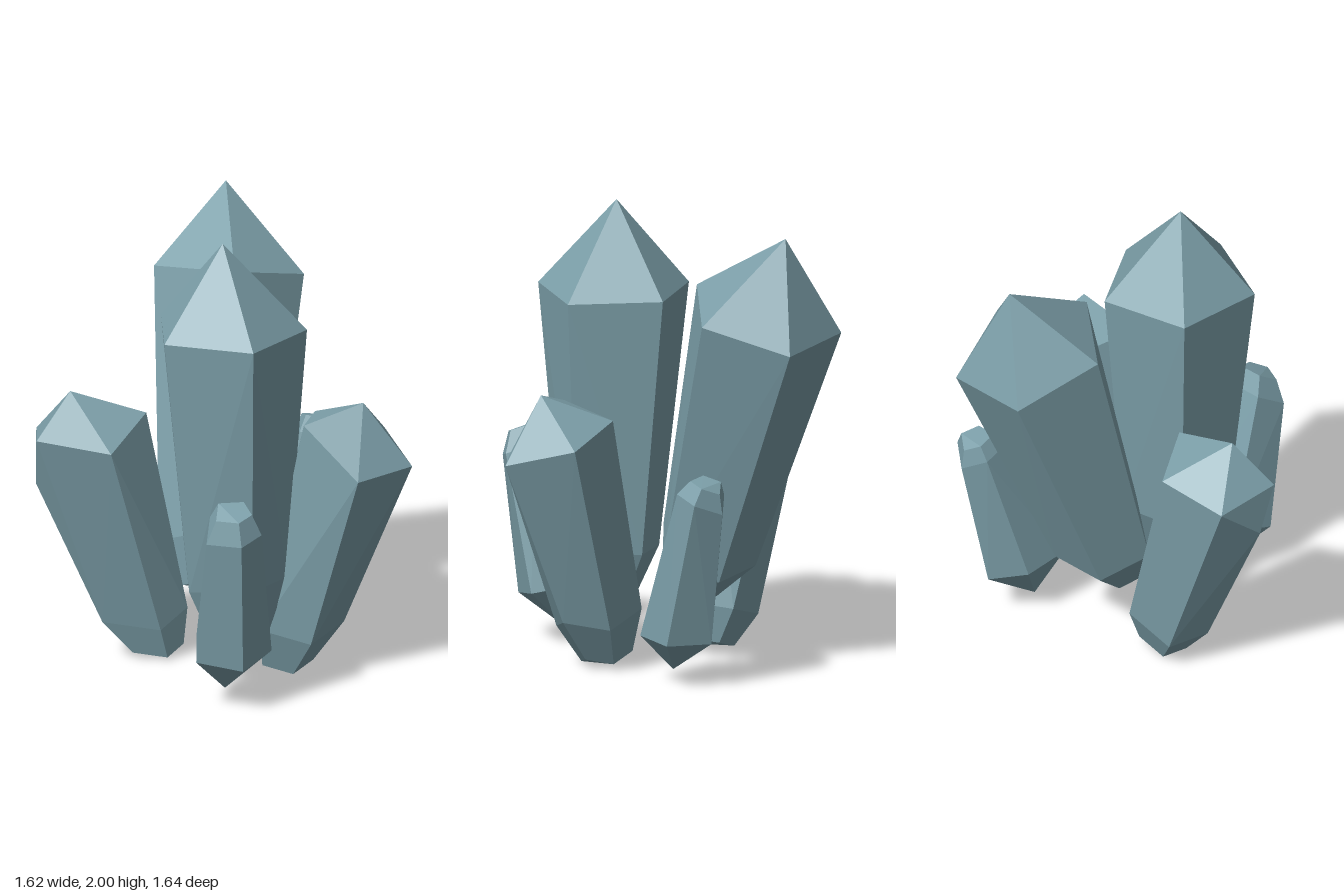
import * as THREE from 'three';
import { ConvexGeometry } from 'three/addons/geometries/ConvexGeometry.js';

// Shrink a ring of corners by k and move its centre to the given point;
// k = 0 gives a pointed end, larger values a cut-off facet.
function cap(ring, [x, y, z], k) {
  const centre = new THREE.Vector3();
  ring.forEach((p) => centre.addScaledVector(p, 1 / ring.length));
  const target = new THREE.Vector3(x, y, z);
  if (k === 0) return [target];
  return ring.map((p) => p.clone().sub(centre).multiplyScalar(k).add(target));
}

// A crystal: top end, five shoulder corners, five foot corners, bottom end.
function crystal(material, { name, tip, tipScale = 0, shoulder, foot, base, baseScale = 0 }) {
  const toVectors = (list) => list.map((p) => new THREE.Vector3(...p));
  const upper = toVectors(shoulder);
  const lower = toVectors(foot);
  const points = [
    ...cap(upper.slice(0, 5), tip, tipScale),
    ...upper,
    ...lower,
    ...cap(lower, base, baseScale),
  ];
  const mesh = new THREE.Mesh(new ConvexGeometry(points), material);
  mesh.name = name;
  return mesh;
}

export function createModel() {
  const group = new THREE.Group();
  group.name = 'crystalCluster';
  const stone = new THREE.MeshStandardMaterial({ color: 0x7c9fa9 });
  stone.name = 'blueGreyCrystal';
  const add = (spec) => group.add(crystal(stone, spec));

  // Tall upright crystal in the middle
  add({
    name: 'centreCrystal',
    tip: [-0.01, 2, 0.26],
    shoulder: [[0.11, 1.61, -0.07], [0.355, 1.6, 0.26], [0.11, 1.61, 0.59], [-0.27, 1.61, 0.46], [-0.27, 1.61, 0.06]],
    foot: [[0.11, 0.47, 0.04], [0.27, 0.47, 0.27], [0.11, 0.47, 0.465], [-0.16, 0.45, 0.4], [-0.16, 0.45, 0.14]],
    base: [0.05, 0.23, 0.28], baseScale: 0.6,
  });

  // Tall crystal leaning backwards
  add({
    name: 'backCrystal',
    tip: [0.04, 1.96, -0.67],
    shoulder: [[-0.18, 1.52, -0.81], [0.22, 1.49, -0.82], [0.37, 1.6, -0.46], [0.06, 1.7, -0.215], [-0.28, 1.655, -0.44]],
    foot: [[-0.19, 0.42, -0.35], [0.1, 0.4, -0.36], [0.2, 0.45, -0.13], [-0.01, 0.6, 0.01], [-0.27, 0.5, -0.14]],
    base: [-0.05, 0.3, -0.11], baseScale: 0.5,
  });

  // Middle-sized crystal leaning to the right, with one extra chipped corner
  add({
    name: 'rightCrystal',
    tip: [-0.66, 1.24, 0],
    shoulder: [[-0.51, 1.08, -0.27], [-0.8, 1.01, -0.18], [-0.81, 1.05, 0.11], [-0.49, 1.01, 0.185], [-0.33, 1.13, -0.02],
      [-0.81, 0.83, 0.03]],
    foot: [[-0.22, 0.2, -0.21], [-0.45, 0.13, -0.18], [-0.52, 0.17, -0.02], [-0.27, 0.15, 0.04], [-0.15, 0.22, -0.06]],
    base: [-0.27, 0.027, -0.07], baseScale: 0.6,
  });

  // Middle-sized crystal leaning to the left
  add({
    name: 'leftCrystal',
    tip: [0.6, 1.25, 0.23],
    shoulder: [[0.7, 1.05, -0.02], [0.81, 0.97, 0.27], [0.57, 0.95, 0.42], [0.34, 1.17, 0.29], [0.4, 1.13, -0.01]],
    foot: [[0.42, 0.2, -0.01], [0.52, 0.23, 0.17], [0.37, 0.17, 0.31], [0.15, 0.22, 0.25], [0.17, 0.25, 0]],
    base: [0.27, 0.035, 0.13], baseScale: 0.6,
  });

  // Small blunt crystal at the back left
  add({
    name: 'smallBackCrystal',
    tip: [0.43, 0.925, -0.53], tipScale: 0.65,
    shoulder: [[0.54, 0.85, -0.54], [0.43, 0.8, -0.61], [0.33, 0.86, -0.55], [0.35, 0.89, -0.42], [0.5, 0.88, -0.42]],
    foot: [[0.52, 0.2, -0.38], [0.37, 0.2, -0.51], [0.23, 0.25, -0.4], [0.23, 0.28, -0.2], [0.45, 0.21, -0.19]],
    base: [0.33, 0.05, -0.28],
  });

  // Small blunt crystal at the front
  add({
    name: 'smallFrontCrystal',
    tip: [0.02, 0.93, 0.73], tipScale: 0.65,
    shoulder: [[-0.1, 0.8, 0.77], [0.05, 0.8, 0.82], [0.14, 0.83, 0.74], [0.09, 0.88, 0.62], [-0.08, 0.88, 0.64]],
    foot: [[-0.14, 0.22, 0.66], [0.06, 0.2, 0.73], [0.19, 0.24, 0.57], [0.1, 0.28, 0.41], [-0.13, 0.28, 0.45]],
    base: [-0.01, 0.05, 0.51],
  });

  return group;
}
